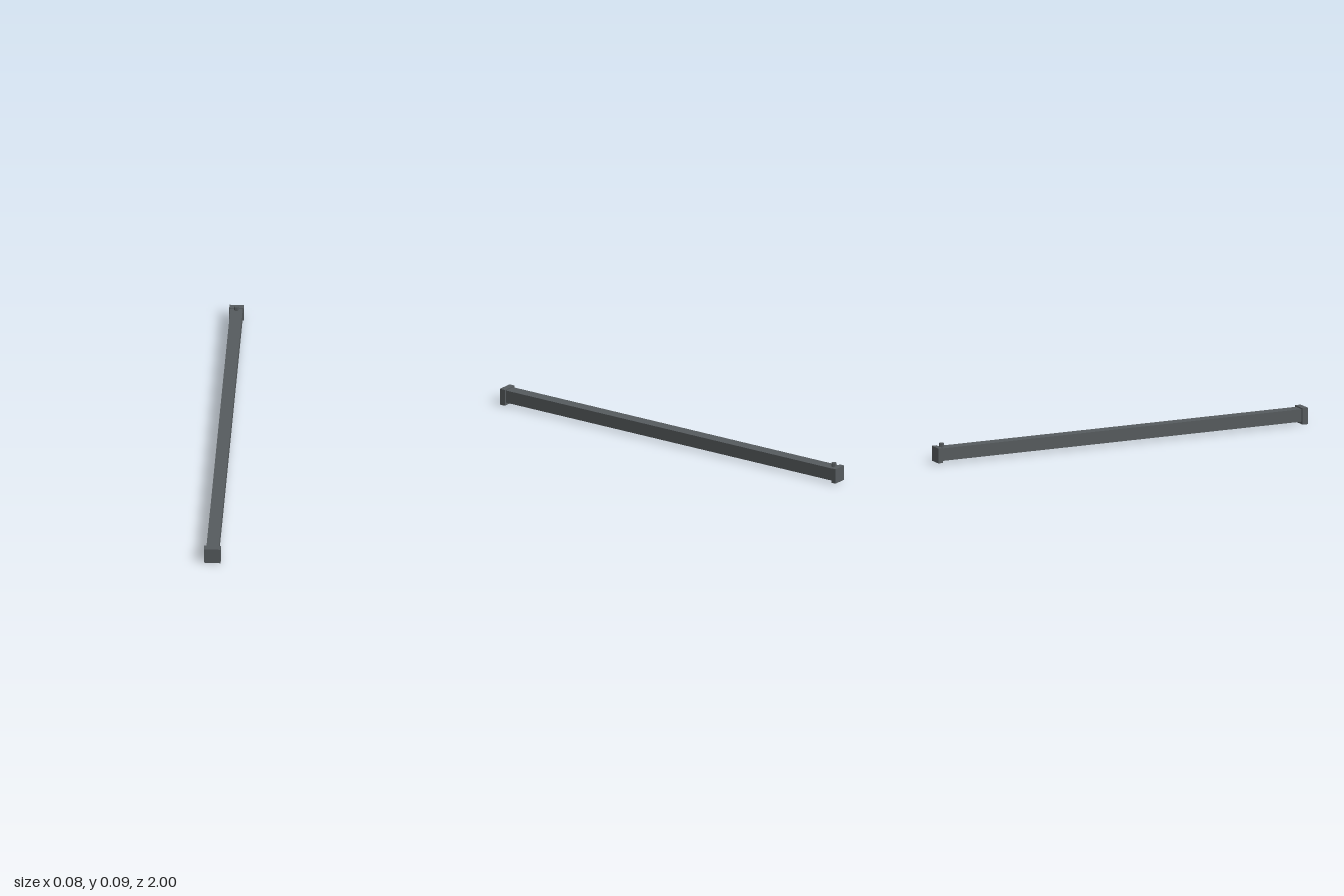
import * as THREE from 'three';

export function createModel() {
  const model = new THREE.Group();
  const darkGrey = new THREE.MeshStandardMaterial({ color: 0x565b5e });

  function add(name, geometry, x, y, z) {
    const mesh = new THREE.Mesh(geometry, darkGrey);
    mesh.name = name;
    mesh.position.set(x, y, z);
    model.add(mesh);
  }

  // Long channel, open along the bottom
  const half = 0.03, bottom = 0.013, top = 0.075, wall = 0.008;
  const channel = new THREE.Shape([
    [-half, bottom], [-half + wall, bottom], [-half + wall, top - wall],
    [half - wall, top - wall], [half - wall, bottom], [half, bottom],
    [half, top], [-half, top],
  ].map(([x, y]) => new THREE.Vector2(x, y)));
  add('channelBeam', new THREE.ExtrudeGeometry(channel, { depth: 1.946, bevelEnabled: false }), 0, 0, -0.976);

  // Cross ribs inside the channel
  for (let i = 0; i < 8; i++) {
    add('crossRib', new THREE.BoxGeometry(0.045, 0.053, 0.012), 0, 0.0405, -0.875 + i * 0.25);
  }

  // End caps
  add('frontCap', new THREE.BoxGeometry(0.081, 0.081, 0.03), 0, 0.0405, 0.985);
  add('rearCap', new THREE.BoxGeometry(0.071, 0.074, 0.025), 0, 0.041, -0.9875);

  // Six-sided stud on top, points to left and right
  const stud = new THREE.CylinderGeometry(0.0125, 0.0125, 0.022, 6).toNonIndexed();
  stud.rotateY(Math.PI / 6);
  stud.computeVertexNormals();
  add('topStud', stud, 0, 0.084, -0.966);

  return model;
}
